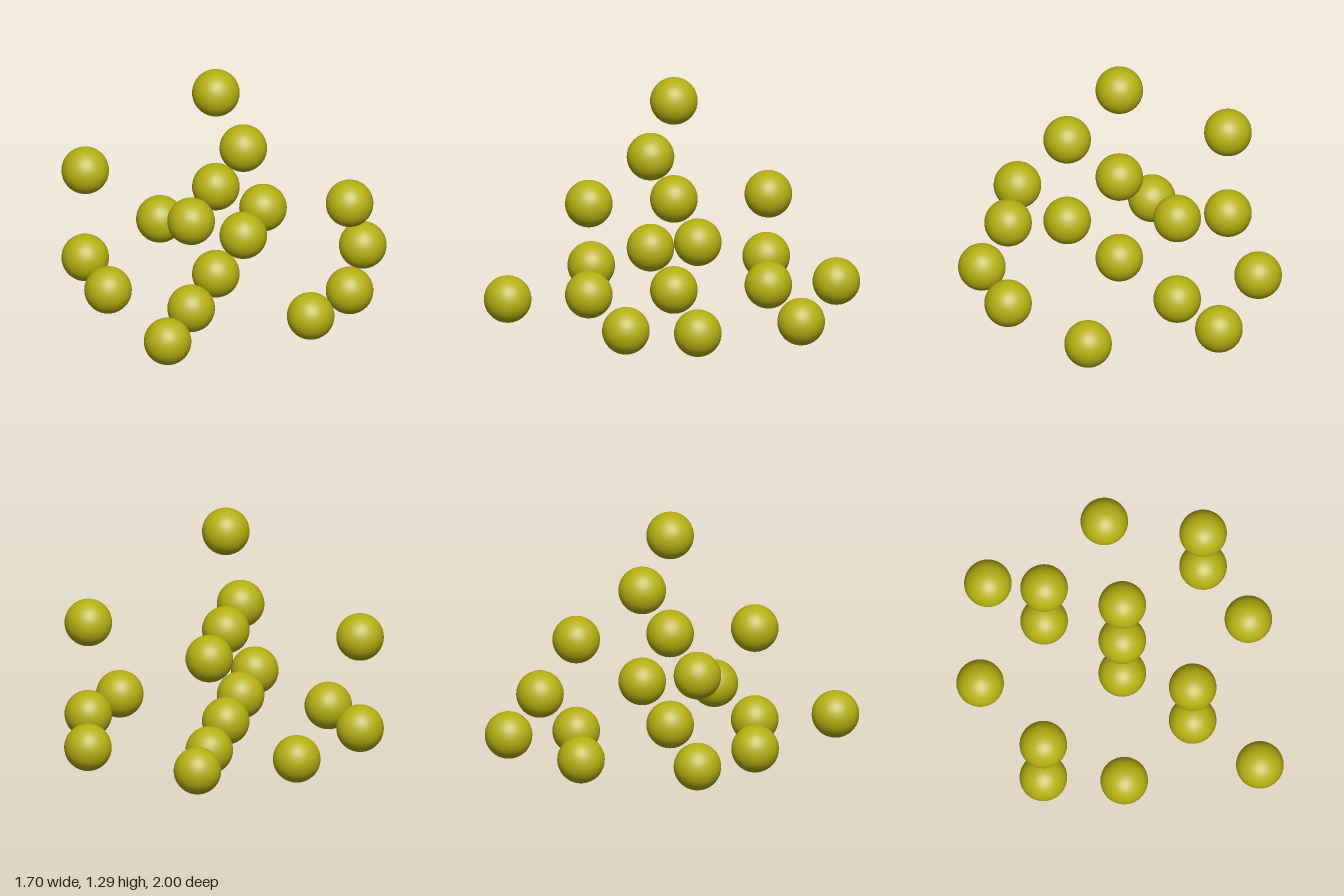
import * as THREE from 'three';

export function createModel() {
  const model = new THREE.Group();
  const radius = 0.125;
  const ball = new THREE.SphereGeometry(radius, 40, 24);
  const material = new THREE.MeshStandardMaterial({ color: 0xb5b012 });

  // Heights of the three stacked layers
  const low = radius, mid = 0.628, high = 1.17;
  const c = -0.01; // the shared central axis

  function addLayer(name, y, points) {
    const layer = new THREE.Group();
    layer.name = name;
    points.forEach(([x, z], i) => {
      const mesh = new THREE.Mesh(ball, material);
      mesh.name = `${name}Ball${i + 1}`;
      mesh.position.set(x, y, z);
      layer.add(mesh);
    });
    model.add(layer);
  }

  // Cross of five balls, shared by the lower two layers
  const cross = [[c, c], [-0.725, c], [0.722, c], [c, 0.443], [c, -0.513]];

  addLayer('top', high, [[c, c]]);
  addLayer('middle', mid, cross);
  addLayer('base', low, cross);

  // Outer ring on the ground: front and back tips and four diagonals
  addLayer('outerRing', low, [
    [c, 0.875], [c, -0.875],
    [-0.488, -0.585], [0.625, -0.577],
    [-0.494, 0.346], [0.618, 0.355],
  ]);

  return model;
}
